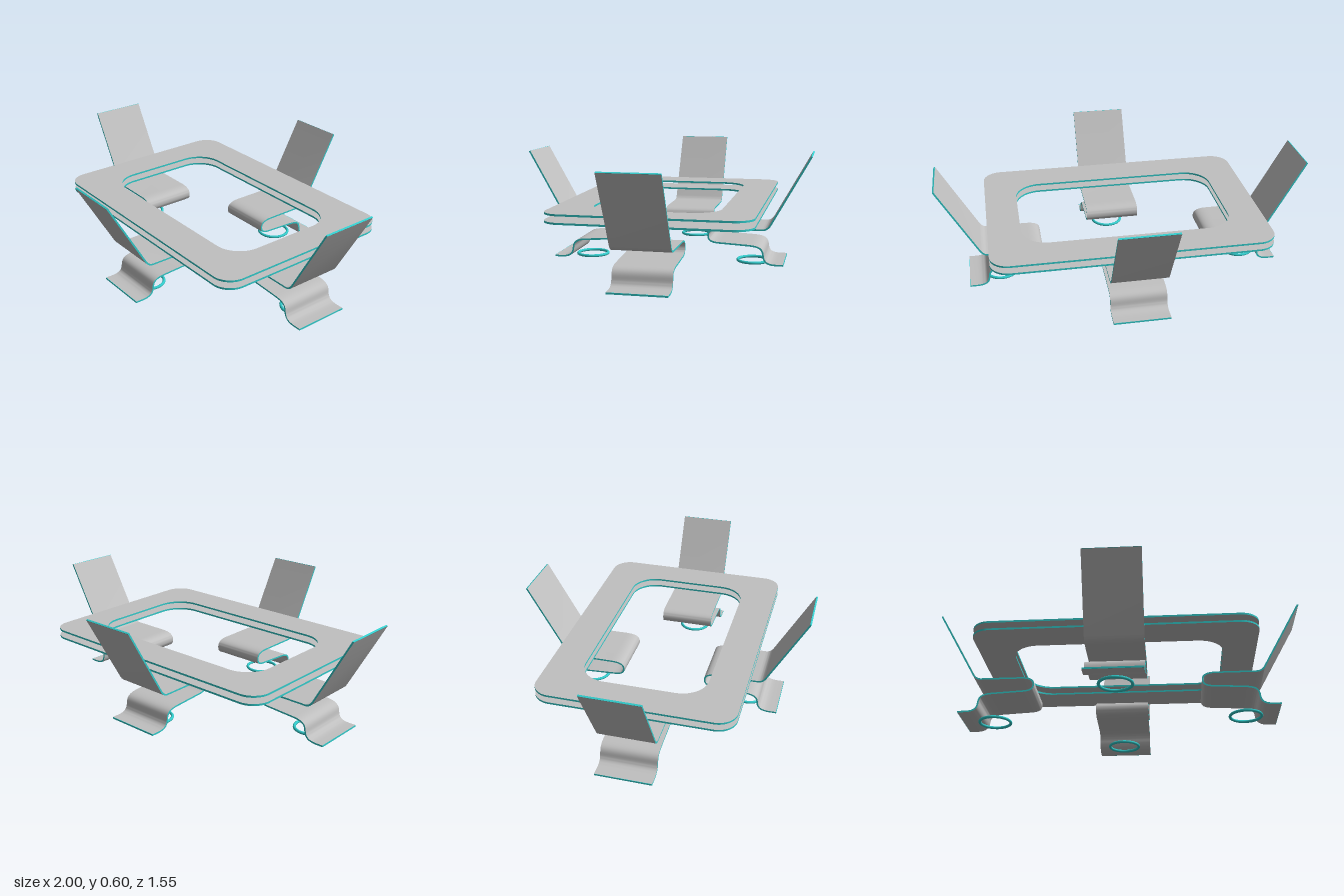
import * as THREE from 'three';
import { toCreasedNormals } from 'three/addons/utils/BufferGeometryUtils.js';

const THICK = 0.009;
const WIDTH = 0.3;

const metal = new THREE.MeshStandardMaterial({ color: 0xc0c0c0 });
metal.name = 'grey metal';
const edge = new THREE.MeshStandardMaterial({ color: 0x33cccc });
edge.name = 'teal edge';

function addMesh(parent, name, geometry, material) {
  const mesh = new THREE.Mesh(geometry, material);
  mesh.name = name;
  parent.add(mesh);
  return mesh;
}

// Traces a rounded rectangle onto a Shape or Path
function roundedRect(path, cx, cy, w, h, r) {
  const x = w / 2 - r, y = h / 2 - r;
  path.absarc(cx + x, cy + y, r, 0, Math.PI / 2);
  path.absarc(cx - x, cy + y, r, Math.PI / 2, Math.PI);
  path.absarc(cx - x, cy - y, r, Math.PI, Math.PI * 1.5);
  path.absarc(cx + x, cy - y, r, Math.PI * 1.5, Math.PI * 2);
  path.closePath();
  return path;
}

// Flat rectangular frame with an open middle: grey faces, teal rims
function frameGeometry() {
  const shape = roundedRect(new THREE.Shape(), 0.006, 0.018, 1.476, 1.04, 0.1);
  shape.holes.push(roundedRect(new THREE.Path(), 0.01, 0.02, 1.12, 0.66, 0.14));
  const geo = new THREE.ExtrudeGeometry(shape, { depth: 0.01, bevelEnabled: false, curveSegments: 12 });
  geo.rotateX(-Math.PI / 2);
  return toCreasedNormals(geo, 0.6);
}

// Centre line of a bent spring strip, from its raised tip to its foot
function stripPoints() {
  const p = new THREE.Path();
  p.moveTo(0.996, 0.6);
  p.lineTo(0.79, 0.232);
  p.quadraticCurveTo(0.773, 0.204, 0.745, 0.204);
  p.lineTo(0.53, 0.204);
  p.bezierCurveTo(0.475, 0.204, 0.456, 0.19, 0.456, 0.165);
  p.bezierCurveTo(0.456, 0.135, 0.475, 0.126, 0.53, 0.125);
  p.lineTo(0.68, 0.117);
  p.bezierCurveTo(0.735, 0.113, 0.75, 0.1, 0.753, 0.065);
  p.bezierCurveTo(0.757, 0.03, 0.775, 0.017, 0.82, 0.016);
  p.lineTo(0.86, 0.016);
  return p.getPoints(10);
}

// Spring strip with its teal ends and the ring beneath it, reaching along +x
function makeSpring(name) {
  const group = new THREE.Group();
  group.name = name;
  const pts = stripPoints();
  const last = pts.length - 1;
  const dirs = pts.map((p, i) =>
    pts[Math.min(i + 1, last)].clone().sub(pts[Math.max(i - 1, 0)]).normalize());
  const side = (s) => pts.map((p, i) =>
    new THREE.Vector2(p.x - dirs[i].y * s, p.y + dirs[i].x * s));
  const outline = [...side(THICK / 2), ...side(-THICK / 2).reverse()];
  const geo = new THREE.ExtrudeGeometry(new THREE.Shape(outline), { depth: WIDTH, bevelEnabled: false });
  geo.translate(0, 0, -WIDTH / 2);
  addMesh(group, 'bentStrip', toCreasedNormals(geo, 0.8), [edge, metal]);

  // Teal end faces
  for (const [i, label] of [[0, 'tipEdge'], [last, 'footEdge']]) {
    const end = addMesh(group, label, new THREE.BoxGeometry(0.002, THICK, WIDTH), edge);
    end.position.set(pts[i].x, pts[i].y, 0);
    end.rotation.z = Math.atan2(dirs[i].y, dirs[i].x);
  }

  const ring = addMesh(group, 'ring', new THREE.TorusGeometry(0.085, 0.008, 10, 40), edge);
  ring.rotation.x = Math.PI / 2;
  ring.position.set(0.685, 0.008, 0);
  return group;
}

export function createModel() {
  const model = new THREE.Group();
  model.name = 'springFrame';

  // Pair of stacked frames
  const frame = frameGeometry();
  addMesh(model, 'lowerFrame', frame, [metal, edge]).position.y = 0.307;
  addMesh(model, 'upperFrame', frame, [metal, edge]).position.y = 0.349;

  // One spring per side: name, turn, x, z
  const springs = [
    ['leftSpring', 0, 0, -0.017],
    ['rightSpring', Math.PI, 0, -0.017],
    ['frontSpring', -Math.PI / 2, 0.014, -0.228],
    ['backSpring', Math.PI / 2, 0, 0.224],
  ];
  for (const [name, turn, x, z] of springs) {
    const spring = makeSpring(name);
    spring.rotation.y = turn;
    spring.position.set(x, 0, z);
    model.add(spring);
  }
  return model;
}
